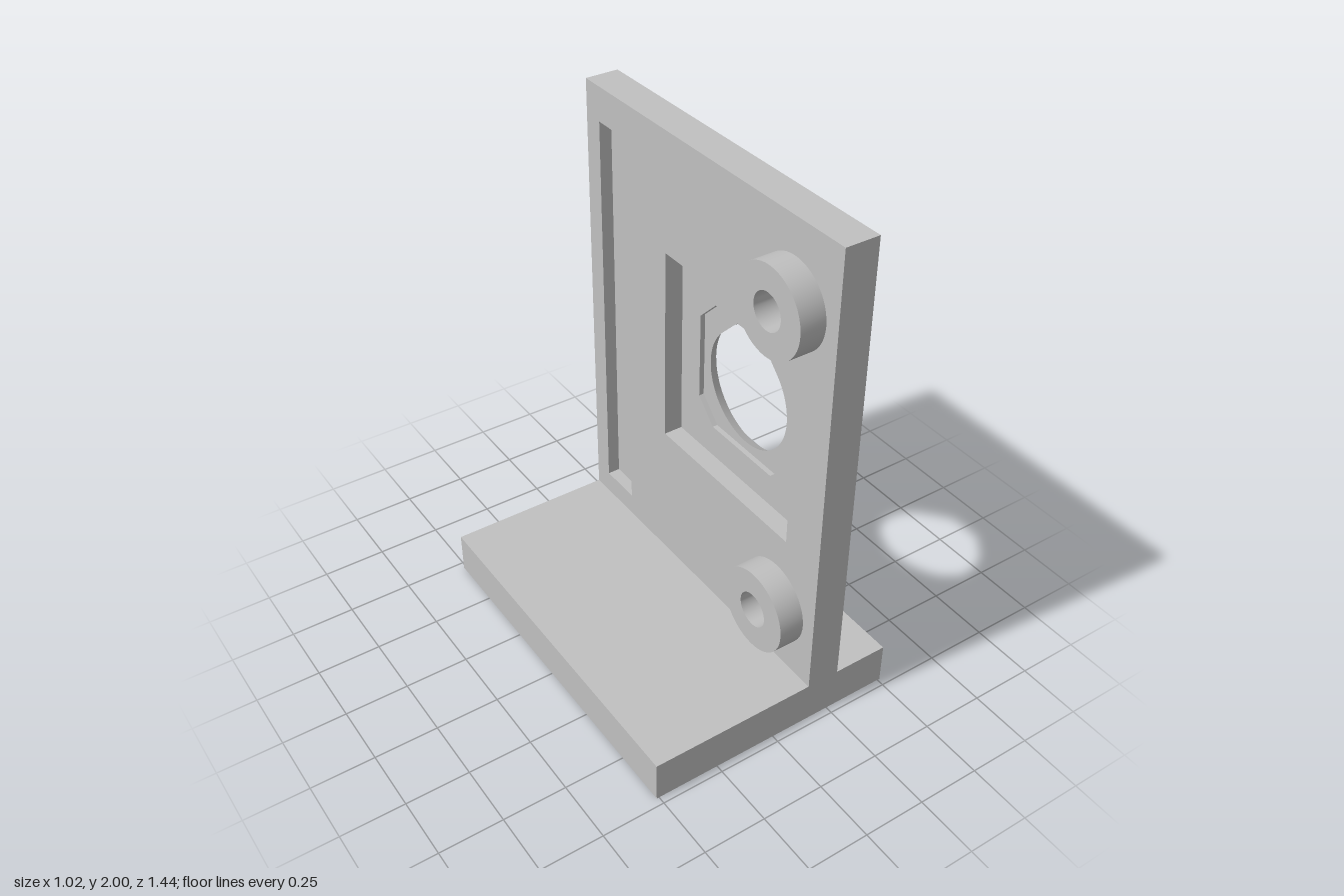
import * as THREE from 'three';
import { mergeGeometries, toCreasedNormals } from 'three/addons/utils/BufferGeometryUtils.js';

// Loops are counter-clockwise lists of [z, y] points, as seen from -x.
const rect = (z0, z1, y0, y1) => [[z0, y0], [z1, y0], [z1, y1], [z0, y1]];

function ring(cz, cy, radiusAt, n = 64) {
  return Array.from({ length: n }, (_, i) => {
    const a = (i / n) * Math.PI * 2;
    const r = radiusAt(a);
    return [cz + r * Math.cos(a), cy + r * Math.sin(a)];
  });
}

const toVectors = (loop) => loop.map(([z, y]) => new THREE.Vector2(z, y));

// Flat face at a given x with optional holes, facing -x (or +x when flipped)
function face(x, loop, holes = [], flip = false) {
  const shape = new THREE.Shape(toVectors(loop));
  holes.forEach((h) => shape.holes.push(new THREE.Path(toVectors(h))));
  const geo = new THREE.ShapeGeometry(shape);
  geo.rotateY(-Math.PI / 2).translate(x, 0, 0);
  if (flip) geo.index.array.reverse();
  const flat = geo.toNonIndexed();
  flat.deleteAttribute('uv');
  flat.computeVertexNormals();
  return flat;
}

// Strip of wall between two matching loops, facing the inside of the loop
function wall(x0, loop0, x1, loop1 = loop0) {
  const pos = [];
  loop0.forEach((p, i) => {
    const j = (i + 1) % loop0.length;
    const a = [x0, p[1], p[0]];
    const b = [x0, loop0[j][1], loop0[j][0]];
    const c = [x1, loop1[j][1], loop1[j][0]];
    const d = [x1, loop1[i][1], loop1[i][0]];
    pos.push(...a, ...b, ...c, ...a, ...c, ...d);
  });
  const geo = new THREE.BufferGeometry();
  geo.setAttribute('position', new THREE.Float32BufferAttribute(pos, 3));
  geo.computeVertexNormals();
  return toCreasedNormals(geo, 0.35);
}

export function createModel() {
  const group = new THREE.Group();
  const grey = new THREE.MeshStandardMaterial({ color: 0xc0c0c0 });
  grey.name = 'light grey';

  const add = (name, geo) => {
    const mesh = new THREE.Mesh(geo, grey);
    mesh.name = name;
    group.add(mesh);
    return mesh;
  };

  // Foot
  const baseTop = 0.168;
  add('base', new THREE.BoxGeometry(1.02, baseTop, 1.44)).position.y = baseTop / 2;

  // Depth levels through the upright plate
  const xBack = 0.155, xSlot = 0.205, xPocket = 0.23, xSeat = 0.25, xFront = 0.288;
  const cz = 0.165, cy = 1.123;

  const outline = rect(-0.72, 0.72, baseTop, 2);
  const slot = rect(-0.637, -0.46, 0.26, 1.865);
  const pocket = rect(-0.215, 0.54, 0.735, 1.53);

  // Square seat with clipped corners
  const h = 0.265, k = 0.175;
  const seat = [[-k, -h], [k, -h], [h, -k], [h, k], [k, h], [-k, h], [-h, k], [-h, -k]]
    .map(([z, y]) => [cz + z, cy + 0.006 + y]);

  // Opening: round on one side, flat-topped teardrop on the other
  const circle = ring(cz, cy, () => 0.244);
  const teardrop = ring(cz, cy, (a) => {
    const off = Math.abs(a - Math.PI / 2);
    if (off > Math.PI / 4) return 0.225;
    return Math.min(0.225 / Math.cos(Math.PI / 4 - off), 0.243 / Math.cos(off));
  });

  add('uprightPlate', mergeGeometries([
    face(xBack, outline, [slot, pocket]),
    face(xFront, outline, [circle], true),
    wall(xBack, [...outline].reverse(), xFront),
  ]));
  add('slotRecess', mergeGeometries([wall(xBack, slot, xSlot), face(xSlot, slot)]));
  add('squarePocket', mergeGeometries([wall(xBack, pocket, xPocket), face(xPocket, pocket, [seat])]));
  add('clippedSeat', mergeGeometries([wall(xPocket, seat, xSeat), face(xSeat, seat, [teardrop])]));
  add('taperedOpening', wall(xSeat, teardrop, xFront, circle));

  // Hollow bosses
  const profile = [[0.167, 0], [0.167, 0.1], [0.07, 0.1], [0.07, 0]]
    .map(([r, y]) => new THREE.Vector2(r, y));
  const boss = toCreasedNormals(new THREE.LatheGeometry(profile, 48), 0.5);
  boss.rotateZ(Math.PI / 2);
  [['lowerBoss', 0.428], ['upperBoss', 1.698]].forEach(([name, y]) => {
    add(name, boss).position.set(xBack, y, 0.495);
  });

  return group;
}
